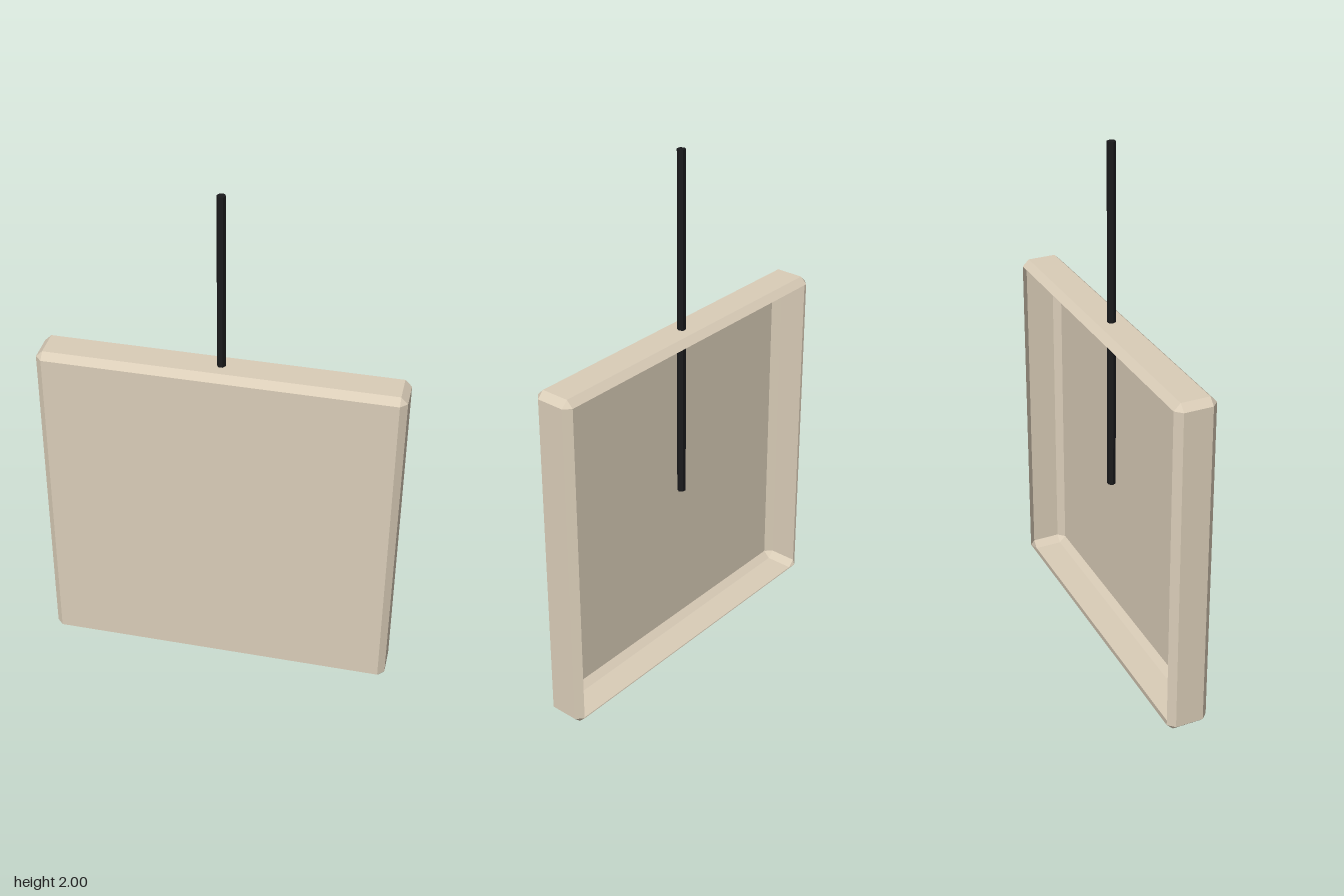
import * as THREE from 'three';

const HALF = 0.667;    // half width and height of the panel
const DEPTH = 0.079;   // half thickness
const BEVEL = 0.025;

// Eight-point square outline; 'out' pushes its four sides beyond the inner corners.
function ring(out, z) {
  const a = HALF - BEVEL;
  const b = a + out;
  return [[b, -a], [b, a], [a, b], [-a, b], [-b, a], [-b, -a], [-a, -b], [a, -b]]
    .map(([x, y]) => new THREE.Vector3(x, y, z));
}

// Chamfered shell, closed at the front and open at the back.
function shellGeometry() {
  const rings = [
    ring(0, -DEPTH),
    ring(BEVEL, -DEPTH + BEVEL),
    ring(BEVEL, DEPTH - BEVEL),
    ring(0, DEPTH),
  ];
  const points = [];
  const tri = (a, b, c) => {
    // Skip the collapsed triangles at the chamfered corners
    if (a.equals(b) || b.equals(c) || c.equals(a)) return;
    points.push(a, b, c);
  };
  for (let r = 0; r < 3; r++) {
    for (let i = 0; i < 8; i++) {
      const j = (i + 1) % 8;
      const [a, b] = [rings[r][i], rings[r][j]];
      const [d, c] = [rings[r + 1][i], rings[r + 1][j]];
      tri(a, b, c);
      tri(a, c, d);
    }
  }
  // Front face
  const f = rings[3];
  tri(f[0], f[2], f[4]);
  tri(f[0], f[4], f[6]);

  const geometry = new THREE.BufferGeometry().setFromPoints(points);
  geometry.computeVertexNormals();
  return geometry;
}

export function createModel() {
  const model = new THREE.Group();
  model.name = 'hangingPanel';

  // Hollow square panel
  const panel = new THREE.Mesh(
    shellGeometry(),
    new THREE.MeshStandardMaterial({ color: 0xdacdb8, flatShading: true, side: THREE.DoubleSide })
  );
  panel.name = 'panelShell';
  panel.position.y = HALF;
  model.add(panel);

  // Hexagonal rod running from the panel's centre up through its top
  const length = 2 - HALF;
  const rod = new THREE.Mesh(
    new THREE.CylinderGeometry(0.016, 0.016, length, 6),
    new THREE.MeshStandardMaterial({ color: 0x1a1a1c, flatShading: true })
  );
  rod.name = 'hangingRod';
  rod.rotation.y = Math.PI / 6;
  rod.position.y = HALF + length / 2;
  model.add(rod);

  return model;
}
